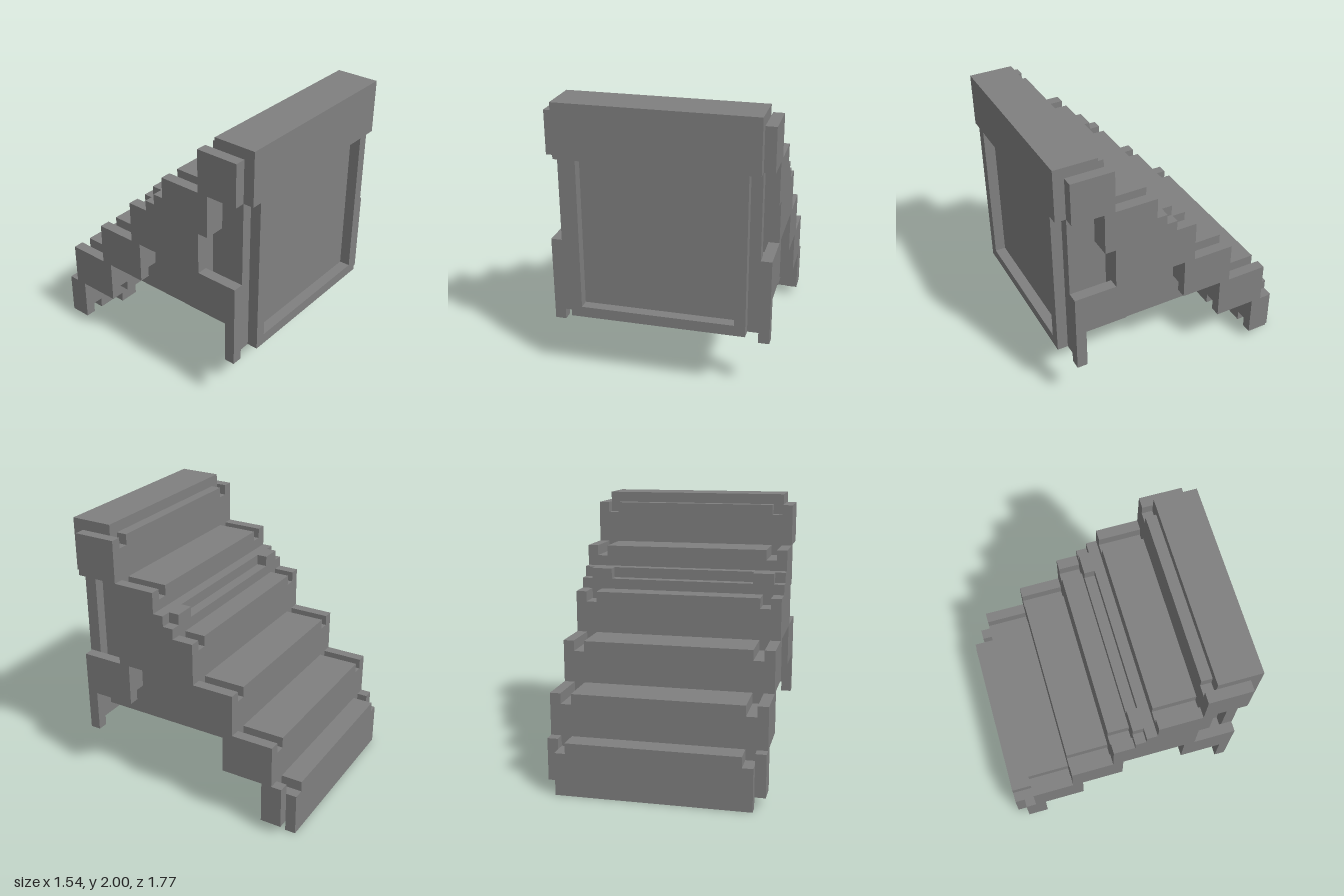
import * as THREE from 'three';

// All sizes are in grid units; the model is 26 units tall.
const U = 1 / 13;

export function createModel() {
  const model = new THREE.Group();
  model.name = 'steppedBlock';
  const grey = new THREE.MeshStandardMaterial({ color: 0x808080 });
  grey.name = 'grey';

  const add = (name, geometry) => {
    const mesh = new THREE.Mesh(geometry.scale(U, U, U), grey);
    mesh.name = name;
    model.add(mesh);
  };
  const box = (name, x0, x1, y0, y1, z0, z1) =>
    add(name, new THREE.BoxGeometry(x1 - x0, y1 - y0, z1 - z0)
      .translate((x0 + x1) / 2, (y0 + y1) / 2, (z0 + z1) / 2));
  // Side profile of [z, y] points, extruded across x
  const slab = (name, x0, x1, points) => {
    const shape = new THREE.Shape(points.map(([z, y]) => new THREE.Vector2(z, y)));
    add(name, new THREE.ExtrudeGeometry(shape, { depth: x1 - x0, bevelEnabled: false })
      .rotateY(-Math.PI / 2).translate(x1, 0, 0));
  };

  // Wide stepped middle, with a slot in the narrow ledge
  slab('stairCore', -8, 8, [
    [9.5, 7], [9.5, 21], [7.5, 21], [7.5, 25], [6.5, 25], [6.5, 21], [2.5, 21], [2.5, 19],
    [1.5, 19], [1.5, 18], [0.5, 18], [0.5, 17], [-1.5, 17], [-1.5, 13], [-5.5, 13], [-5.5, 9],
    [-9.5, 9], [-9.5, 5], [-11.5, 5], [-11.5, 0], [-10.5, 0], [-10.5, 1], [-8.5, 1],
    [-8.5, 5], [-4.5, 5], [-4.5, 7]]);

  // Sunken strip between the treads and the rails
  const groove = [
    [9.5, 10], [9.5, 12], [6.5, 12], [6.5, 17], [7.5, 17], [7.5, 24], [6.5, 24], [6.5, 20],
    [2.5, 20], [2.5, 19], [0.5, 19], [0.5, 16], [-1.5, 16], [-1.5, 12], [-5.5, 12], [-5.5, 8],
    [-9.5, 8], [-9.5, 4], [-11.5, 4], [-11.5, 0], [-10.5, 0], [-10.5, 2], [-8.5, 2],
    [-8.5, 6], [-4.5, 6], [-4.5, 10], [-0.5, 10], [-0.5, 14], [5.5, 14], [5.5, 10]];

  // Outer side panel with front window and lower arch
  const rail = [
    [10.5, 5], [10.5, 13], [6.5, 13], [6.5, 17], [7.5, 17], [7.5, 21], [10.5, 21], [10.5, 25],
    [6.5, 25], [6.5, 21], [2.5, 21], [2.5, 19], [1.5, 19], [1.5, 18], [0.5, 18], [0.5, 17],
    [-1.5, 17], [-1.5, 13], [-5.5, 13], [-5.5, 9], [-9.5, 9], [-9.5, 5], [-10.5, 5],
    [-10.5, 1], [-8.5, 1], [-8.5, 5], [-4.5, 5], [-4.5, 9], [-0.5, 9], [-0.5, 13],
    [5.5, 13], [5.5, 9], [9.5, 9], [9.5, 5]];

  for (const s of [-1, 1]) {
    const span = (a, b) => (s > 0 ? [a, b] : [-b, -a]);
    slab('sideGroove', ...span(8, 9), groove);
    slab('sideRail', ...span(9, 10), rail);
    box('ledgeEnd', ...span(7, 8), 18, 19, 0.5, 1.5);
    box('frameUpright', ...span(7, 8), 6, 21, 10.5, 11.5);
    // Tabs and feet under the lowest steps
    box('underTab', ...span(3, 5), 4, 5, -8.5, -4.5);
    box('foot', ...span(3, 5), 0, 1, -10.5, -8.5);
  }

  // Front face: header, backing panel and frame sill
  box('header', -9, 9, 21, 26, 7.5, 11.5);
  box('frontPanel', -9, 9, 6, 21, 9.5, 10.5);
  box('frameSill', -7, 7, 6, 7, 10.5, 11.5);

  return model;
}
